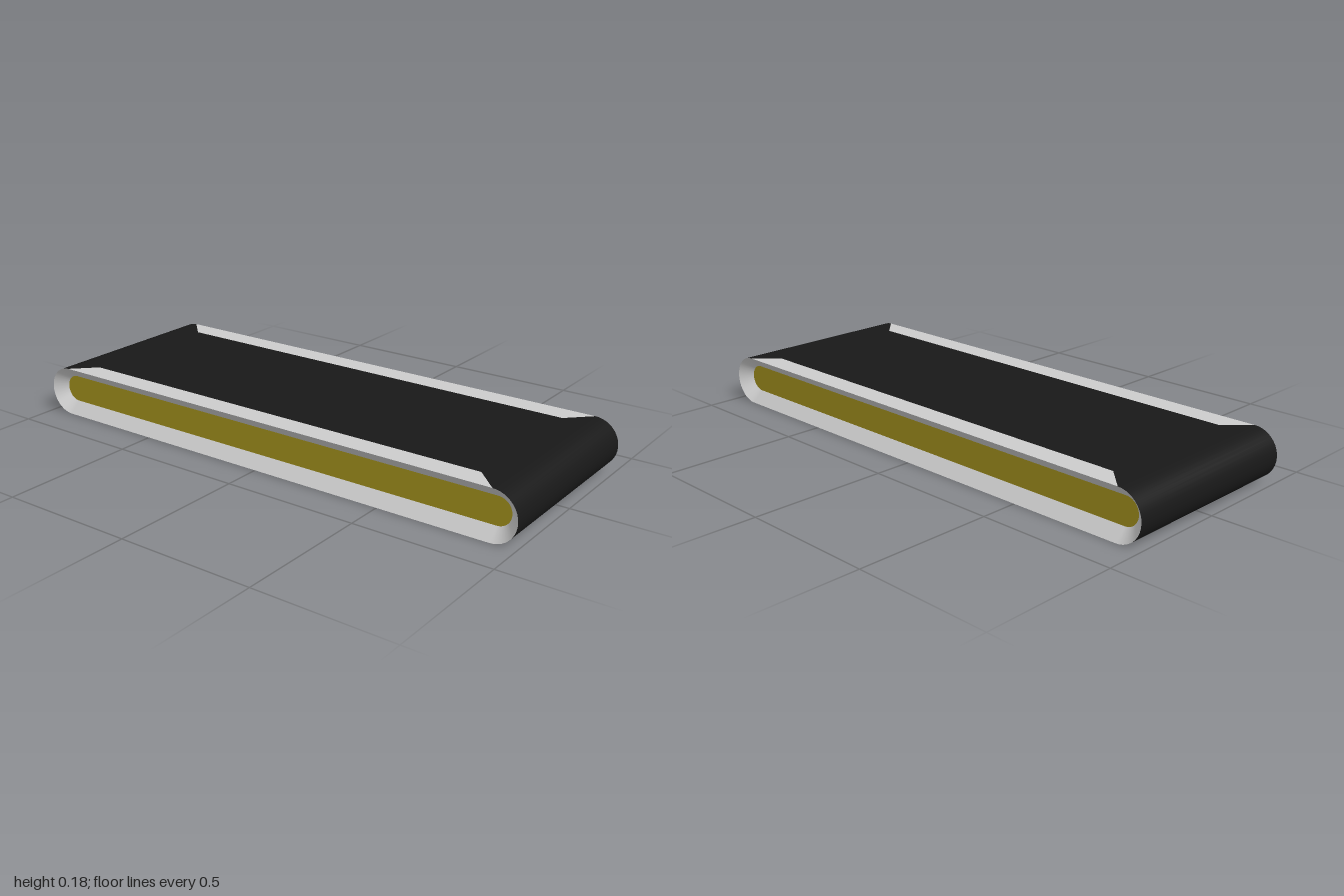
import * as THREE from 'three';

const R = 0.091;        // end radius
const C = 1 - R;        // end centre in x
const H = 0.363;        // half width in z
const RECESS = 0.042;   // depth of the side recess
const RAIL = 0.083;     // rail width, also its corner cut

const mat = (color) => new THREE.MeshStandardMaterial({ color, side: THREE.DoubleSide });

// Rounded-end outline from the top right, round below, to the top left
function outline(r, z, n = 20) {
  const pts = [];
  for (const s of [1, -1]) {
    for (let i = 0; i <= n; i++) {
      const a = s * Math.PI / 2 - (Math.PI * i) / n;
      pts.push(new THREE.Vector3(s * C + r * Math.cos(a), R + r * Math.sin(a), z));
    }
  }
  return pts;
}

// Surface between two matching outlines
function strip(a, b, closed) {
  const n = a.length, index = [];
  for (let i = 0; i < (closed ? n : n - 1); i++) {
    const j = (i + 1) % n;
    index.push(i, j, n + i, j, n + j, n + i);
  }
  const geo = new THREE.BufferGeometry().setFromPoints([...a, ...b]);
  geo.setIndex(index);
  geo.computeVertexNormals();
  return geo;
}

// Flat polygon lying on the top face, corners given as [x, z]
function topPlate(corners) {
  const shape = new THREE.Shape(corners.map(([x, z]) => new THREE.Vector2(x, -z)));
  return new THREE.ShapeGeometry(shape).rotateX(-Math.PI / 2).translate(0, 2 * R, 0);
}

function add(parent, name, geo, material) {
  const mesh = new THREE.Mesh(geo, material);
  mesh.name = name;
  parent.add(mesh);
}

export function createModel() {
  const model = new THREE.Group();
  model.name = 'conveyor';
  const black = mat(0x181818), grey = mat(0xcccccc), yellow = mat(0xa8961e);

  // Belt: underside with rounded ends, and the top run between the rails
  add(model, 'belt', strip(outline(R, H), outline(R, -H), false), black);
  const xi = C - RAIL, zi = H - RAIL;
  add(model, 'beltTop', topPlate([
    [-C, H], [-xi, zi], [xi, zi], [C, H], [C, -H], [xi, -zi], [-xi, -zi], [-C, -H],
  ]), black);

  // Each long side: top rail, bevelled rim and recessed panel
  const side = new THREE.Group();
  add(side, 'rail', topPlate([[-C, H], [C, H], [xi, zi], [-xi, zi]]), grey);
  const inner = outline(0.05, H - RECESS);
  add(side, 'rim', strip(inner, outline(R, H), true), grey);
  const panel = new THREE.ShapeGeometry(new THREE.Shape(inner.map((p) => new THREE.Vector2(p.x, p.y))));
  add(side, 'sidePanel', panel.translate(0, 0, H - RECESS), yellow);
  side.name = 'frontSide';
  const back = side.clone();
  back.name = 'backSide';
  back.rotation.y = Math.PI;
  model.add(side, back);

  return model;
}
